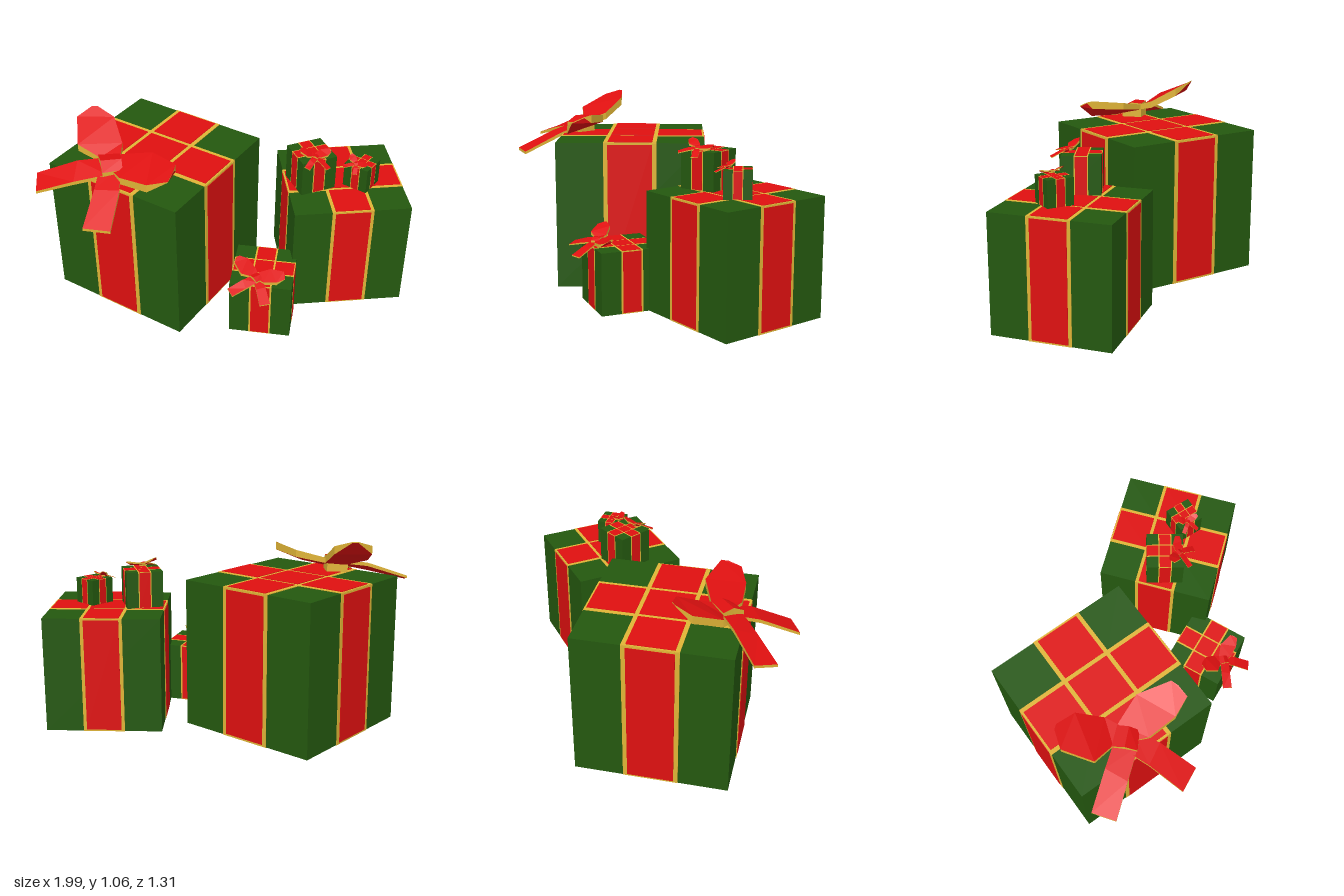
import * as THREE from 'three';

const material = (name, color) => Object.assign(new THREE.MeshStandardMaterial({ color }), { name });
const green = material('green wrapping', 0x24580f);
const red = material('red ribbon', 0xdf1010);
const gold = material('gold trim', 0xe0b436);

const SIZE = 0.826, HALF = SIZE / 2;   // edge of the full-size gift
const BAND = 0.295, RED = 0.248;       // ribbon width with and without its trim
const TURN = -0.647;                   // turn of the full-size box under its bow

function plate(parent, name, mat, w, h, x, y, thickness) {
  const mesh = new THREE.Mesh(new THREE.BoxGeometry(w, h, thickness), mat);
  mesh.name = name;
  mesh.position.set(x, y, HALF);
  parent.add(mesh);
}

// Wrapped cube: one ribbon down every side, crossing ribbons on top and bottom
function makeBox() {
  const box = new THREE.Group();
  box.name = 'wrappedBox';
  const body = new THREE.Mesh(new THREE.BoxGeometry(SIZE, SIZE, SIZE), green);
  body.name = 'boxBody';
  box.add(body);
  for (let i = 0; i < 4; i++) {
    const side = new THREE.Group();
    side.name = 'sideRibbon';
    side.rotation.y = i * Math.PI / 2;
    plate(side, 'ribbonTrim', gold, BAND, SIZE, 0, 0, 0.006);
    plate(side, 'ribbon', red, RED, SIZE - 0.02, 0, 0, 0.012);
    box.add(side);
  }
  const armLength = HALF - 0.009 - BAND / 2;
  const armCentre = BAND / 2 + armLength / 2;
  for (const s of [1, -1]) {
    const cross = new THREE.Group();
    cross.name = s < 0 ? 'topRibbon' : 'bottomRibbon';
    cross.rotation.x = s * Math.PI / 2;
    plate(cross, 'ribbonTrim', gold, BAND, SIZE, 0, 0, 0.006);
    plate(cross, 'ribbonTrim', gold, SIZE, BAND, 0, 0, 0.006);
    plate(cross, 'ribbonCentre', red, RED, RED, 0, 0, 0.012);
    for (const d of [1, -1]) {
      plate(cross, 'ribbonArm', red, RED, armLength, 0, d * armCentre, 0.012);
      plate(cross, 'ribbonArm', red, armLength, RED, d * armCentre, 0, 0.012);
    }
    box.add(cross);
  }
  box.rotation.y = TURN;
  box.position.y = HALF;
  return box;
}

// Faceted slab from rows [left, right, thickness]: red faces, gold edges
function slab(name, rows) {
  const faces = [], edges = [];
  const quad = (list, a, b, c, d) => list.push(...a, ...b, ...c, ...a, ...c, ...d);
  const down = (p, t) => [p[0], p[1] - t, p[2]];
  const sections = rows.map(([l, r, t]) => ({ l, r, lb: down(l, t), rb: down(r, t) }));
  for (let i = 0; i < sections.length - 1; i++) {
    const a = sections[i], b = sections[i + 1];
    quad(faces, a.l, a.r, b.r, b.l);
    quad(faces, a.lb, b.lb, b.rb, a.rb);
    quad(edges, a.l, b.l, b.lb, a.lb);
    quad(edges, a.r, a.rb, b.rb, b.r);
  }
  const first = sections[0], last = sections[sections.length - 1];
  quad(edges, first.l, first.lb, first.rb, first.r);
  quad(edges, last.l, last.r, last.rb, last.lb);
  const geometry = new THREE.BufferGeometry();
  geometry.setAttribute('position', new THREE.Float32BufferAttribute([...faces, ...edges], 3));
  geometry.addGroup(0, faces.length / 3, 0);
  geometry.addGroup(faces.length / 3, edges.length / 3, 1);
  geometry.computeVertexNormals();
  const mesh = new THREE.Mesh(geometry, [red, gold]);
  mesh.name = name;
  return mesh;
}

// Bow at one corner: two raised loops, two drooping tails and a knot
function makeBow() {
  const bow = new THREE.Group();
  bow.name = 'bow';
  bow.add(
    slab('backLoop', [
      [[-0.66, 0.90, 0.08], [-0.55, 0.91, 0.08], 0.03],
      [[-0.775, 0.95, 0.02], [-0.54, 0.935, 0.0], 0.04],
      [[-0.78, 1.02, -0.15], [-0.58, 1.015, -0.14], 0.045],
      [[-0.70, 1.05, -0.205], [-0.67, 1.05, -0.205], 0.005],
    ]),
    slab('sideLoop', [
      [[-0.55, 0.91, 0.07], [-0.59, 0.88, 0.19], 0.03],
      [[-0.38, 0.945, 0.12], [-0.56, 0.875, 0.24], 0.04],
      [[-0.265, 0.965, 0.27], [-0.42, 0.89, 0.34], 0.045],
      [[-0.275, 0.955, 0.31], [-0.31, 0.925, 0.37], 0.005],
    ]),
    slab('sideTail', [
      [[-0.62, 0.87, 0.2], [-0.62, 0.90, 0.08], 0.02],
      [[-0.8, 0.835, 0.2], [-0.78, 0.885, 0.075], 0.02],
      [[-1.0, 0.785, 0.2], [-1.0, 0.815, 0.07], 0.015],
    ]),
    slab('frontTail', [
      [[-0.55, 0.88, 0.15], [-0.66, 0.88, 0.14], 0.02],
      [[-0.56, 0.835, 0.3], [-0.69, 0.835, 0.28], 0.02],
      [[-0.61, 0.735, 0.51], [-0.75, 0.74, 0.48], 0.015],
    ]),
    slab('knot', [
      [[-0.645, 0.885, 0.205], [-0.54, 0.885, 0.185], 0.055],
      [[-0.655, 0.92, 0.14], [-0.545, 0.92, 0.13], 0.09],
      [[-0.67, 0.915, 0.075], [-0.555, 0.915, 0.07], 0.085],
    ]),
  );
  bow.position.set(0.36, 0, 0.08);
  return bow;
}

function makeGift({ name, at, size, turn, bow }) {
  const gift = new THREE.Group();
  gift.name = name;
  gift.add(makeBox());
  if (bow) gift.add(makeBow());
  gift.rotation.y = turn - TURN;
  gift.scale.setScalar(size / SIZE);
  gift.position.set(...at);
  return gift;
}

export function createModel() {
  const model = new THREE.Group();
  model.name = 'giftPile';
  const gifts = [
    { name: 'largeGift', at: [-0.36, 0.006, -0.08], size: 0.826, turn: TURN, bow: true },
    { name: 'mediumGift', at: [0.67, 0.01, 0.002], size: 0.637, turn: 0.02, bow: false },
    { name: 'smallFrontGift', at: [0.196, 0.01, 0.377], size: 0.334, turn: -0.24, bow: true },
    { name: 'stackedGift', at: [0.485, 0.65, 0.025], size: 0.203, turn: 0.3, bow: true },
    { name: 'tiniestGift', at: [0.763, 0.65, 0.06], size: 0.143, turn: -0.71, bow: true },
  ];
  for (const gift of gifts) model.add(makeGift(gift));
  return model;
}
